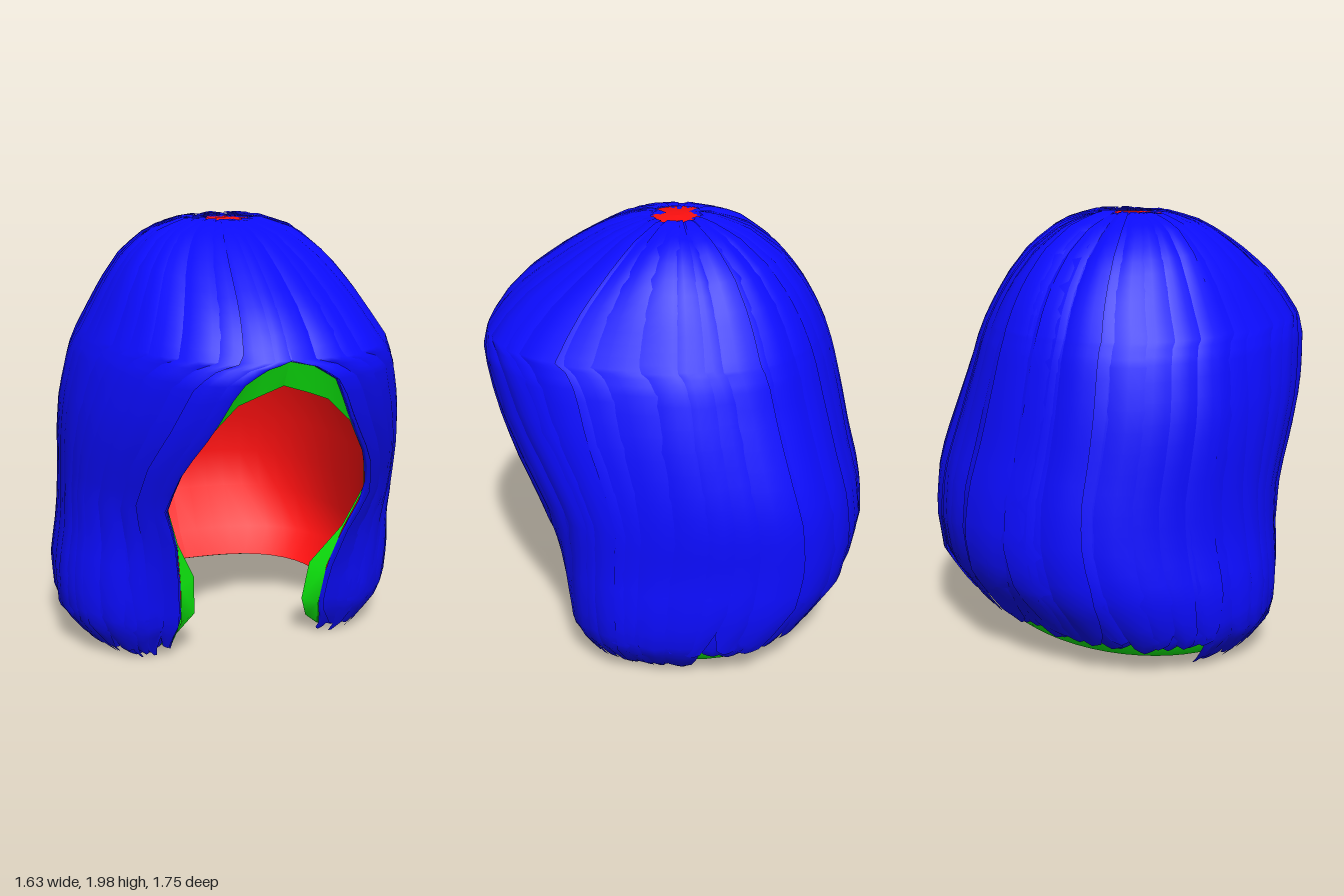
import * as THREE from 'three';

// Cross-sections from crown to tips: height, half width, front depth, back depth, face opening half angle (degrees)
const ROWS = [
  [1.99, 0.07, 0.08, 0.06, 0], [1.985, 0.19, 0.18, 0.15, 0], [1.93, 0.34, 0.34, 0.30, 0],
  [1.82, 0.46, 0.52, 0.45, 0], [1.7, 0.54, 0.69, 0.55, 0], [1.6, 0.595, 0.79, 0.61, 0],
  [1.5, 0.65, 0.86, 0.655, 0], [1.47, 0.665, 0.87, 0.665, 10], [1.4, 0.695, 0.88, 0.69, 18],
  [1.2, 0.745, 0.83, 0.74, 24], [1.0, 0.77, 0.75, 0.785, 32], [0.8, 0.78, 0.65, 0.84, 36],
  [0.6, 0.785, 0.59, 0.865, 30], [0.4, 0.81, 0.56, 0.83, 26], [0.2, 0.80, 0.54, 0.69, 25],
  [0.06, 0.69, 0.49, 0.57, 32], [0.0, 0.62, 0.46, 0.49, 34],
];
const BROW = 6, HEM = 15, END = 16;
const { clamp, smoothstep, degToRad } = THREE.MathUtils;

let seed = 7;
const rand = () => (seed = (seed * 16807) % 2147483647) / 2147483647;

function section(v) {
  const i = Math.min(END - 1, Math.max(0, Math.floor(v)));
  return ROWS[i].map((a, k) => a + (ROWS[i + 1][k] - a) * (v - i));
}

// Point on a cross-section: c runs from 0 at the face edge to PI at the back, side is +1 or -1.
// The model's left is fuller, and the lower face edges curl inward.
function oval([y, w, f, b], c, open, side, scale) {
  const a = c + open * (1 - Math.max(0, c) / Math.PI) ** 2;
  const cos = Math.cos(a);
  const full = side < 0 ? 0.01 : cos > 0 ? 0.09 : 0.02 + 0.07 * (1 - smoothstep(y, 0.8, 1.4));
  const k = scale * (1 + full * Math.min(1, (2 - y) / 0.5) * Math.sin(2 * a) ** 2);
  const curl = 0.08 * (1 - smoothstep(y, 0.2, 0.8)) * Math.exp(-((c / 0.3) ** 2));
  const shift = 0.02 * Math.exp(-(((y - 0.8) / 0.3) ** 2));
  return [side * w * Math.sin(a) * k + shift, y, (cos > 0 ? f : b) * cos * k - curl];
}

// Point on the hair; above the brow, c may run past 0 so that locks overlap across the middle
function hairPoint(c, v, side, off = 0) {
  const row = section(v);
  const p = oval(row, Math.max(c, -0.1 * Math.max(0, BROW - v)), degToRad(row[4]), side, 1 + off);
  p[1] += off * clamp((p[1] - 1.4) / 0.6, 0, 1);
  return p;
}

// Point on the inner lining: set in from the hair, dropped behind the brow, meeting the hair beside the face
function liningPoint(c, v, side) {
  const row = section(v), y = row[0];
  const beside = Math.exp(-((c / 0.25) ** 2)) * smoothstep(y, 0.4, 0.6) * (1 - smoothstep(y, 1.2, 1.4));
  const extra = y > 0.1 && y < 0.5 ? -4 : 0;
  const p = oval(row, c, degToRad(row[4] + extra), side, y < 0.15 ? 0.85 : 0.9 + 0.06 * beside);
  const drop = 0.12 * Math.exp(-(((y - 1.47) / 0.13) ** 2)) * Math.max(0, Math.cos(c));
  p[1] = y * 0.975 + 0.03 - drop;
  return p;
}

// The neck hem rises a little toward the back
const hemRow = (c) => HEM - 0.2 * c / Math.PI;

// Sheet of quads from a point rule; j runs along, i runs across
function sheet(name, material, nAcross, nAlong, side, rule) {
  const pos = [], idx = [], n = nAcross + 1;
  for (let j = 0; j <= nAlong; j++)
    for (let i = 0; i <= nAcross; i++) pos.push(...rule(i / nAcross, j / nAlong));
  for (let j = 0; j < nAlong; j++)
    for (let i = 0; i < nAcross; i++) {
      const a = j * n + i, b = a + 1, c = a + n, d = c + 1;
      if (side > 0) idx.push(a, c, b, b, c, d);
      else idx.push(a, b, c, b, d, c);
    }
  const g = new THREE.BufferGeometry();
  g.setAttribute('position', new THREE.Float32BufferAttribute(pos, 3));
  g.setIndex(idx);
  g.computeVertexNormals();
  const mesh = new THREE.Mesh(g, material);
  mesh.name = name;
  return mesh;
}

export function createModel() {
  seed = 7;
  const paint = (color) => new THREE.MeshStandardMaterial({ color, side: THREE.DoubleSide });
  const blue = paint(0x0c0cff), red = paint(0xff1010), green = paint(0x10ff10);
  const model = new THREE.Group();
  model.name = 'wig';
  const lining = new THREE.Group(), trim = new THREE.Group(), hair = new THREE.Group();
  lining.name = 'lining';
  trim.name = 'trim';
  hair.name = 'hair';
  model.add(lining, trim, hair);

  for (const side of [1, -1]) {
    // Inner lining, closed at the crown and open at the face and neck
    lining.add(sheet('liningHalf', red, 24, HEM + 1, side, (u, t) => {
      const v = Math.round(t * (HEM + 1)) - 1, c = u * Math.PI;
      return v < 0 ? [0, 1.975, 0.01] : liningPoint(c, Math.min(v, hemRow(c)), side);
    }));

    // Band round the face, joining hair edge to lining edge
    trim.add(sheet('faceTrim', green, 1, HEM - BROW, side, (u, t) => {
      const v = BROW + Math.round(t * (HEM - BROW));
      return u < 0.5 ? liningPoint(0, v, side) : hairPoint(0, v, side, -0.035);
    }));

    // Band round the neck hem, turned under to the lining
    trim.add(sheet('hemTrim', green, 24, 3, side, (u, t) => {
      const c = u * Math.PI, step = Math.round(t * 3);
      if (step === 3) return liningPoint(c, hemRow(c), side);
      return hairPoint(c, [HEM - 1.6, HEM - 1, hemRow(c)][step], side, -0.045);
    }));

    // Overlapping locks in two layers, swept from the crown round the face
    for (let layer = 0; layer < 2; layer++) {
      const count = 19;
      for (let k = 0; k <= count; k++) {
        const mid = ((k + layer * 0.5) / count) * Math.PI;
        const half = (Math.PI / count) * (0.72 + rand() * 0.3);
        const start = rand() * 0.25 + layer * 0.3;
        // Locks are long beside the face and end above the hem at the back
        const end = mid < 1.65 ? END - 0.15 - rand() * 0.8 : HEM - 0.85 + rand() * 0.45;
        const base = -0.03 + layer * 0.018 + rand() * 0.012;
        const tilt = (rand() - 0.5) * 0.035;
        const wave = (rand() - 0.5) * 0.14, phase = rand() * 6;
        const lean = (rand() - 0.5) * 0.8;
        hair.add(sheet('lock', blue, 4, 32, side, (u, t) => {
          const s = u * 2 - 1;
          const v = start + (end - start) * t;
          const tip = Math.max(0, (t - 0.86) / 0.14);
          const width = half * (1 - 0.5 * tip * tip);
          const c = mid + s * width + wave * Math.sin(t * 5 + phase) * t + lean * half * tip * tip;
          const fade = Math.min(1, t * 6);
          return hairPoint(c, v - 0.2 * tip * Math.abs(s), side, base + (0.012 * (1 - s * s) + tilt * s) * fade);
        }));
      }
    }

    // Loose pointed wisps along the lower ends of the front and side
    for (let k = 0; k < 7; k++) {
      const mid = 0.15 + k * 0.24 + rand() * 0.12;
      const half = 0.06 + rand() * 0.05, end = END - rand() * 0.4;
      const lean = (rand() - 0.5) * 0.15;
      hair.add(sheet('wisp', blue, 2, 8, side, (u, t) =>
        hairPoint(mid + (u * 2 - 1) * half * Math.sin(Math.PI * (0.15 + 0.78 * t)) + lean * t * t,
          10.5 + (end - 10.5) * t, side, -0.01 + 0.02 * t)));
    }
  }
  return model;
}
